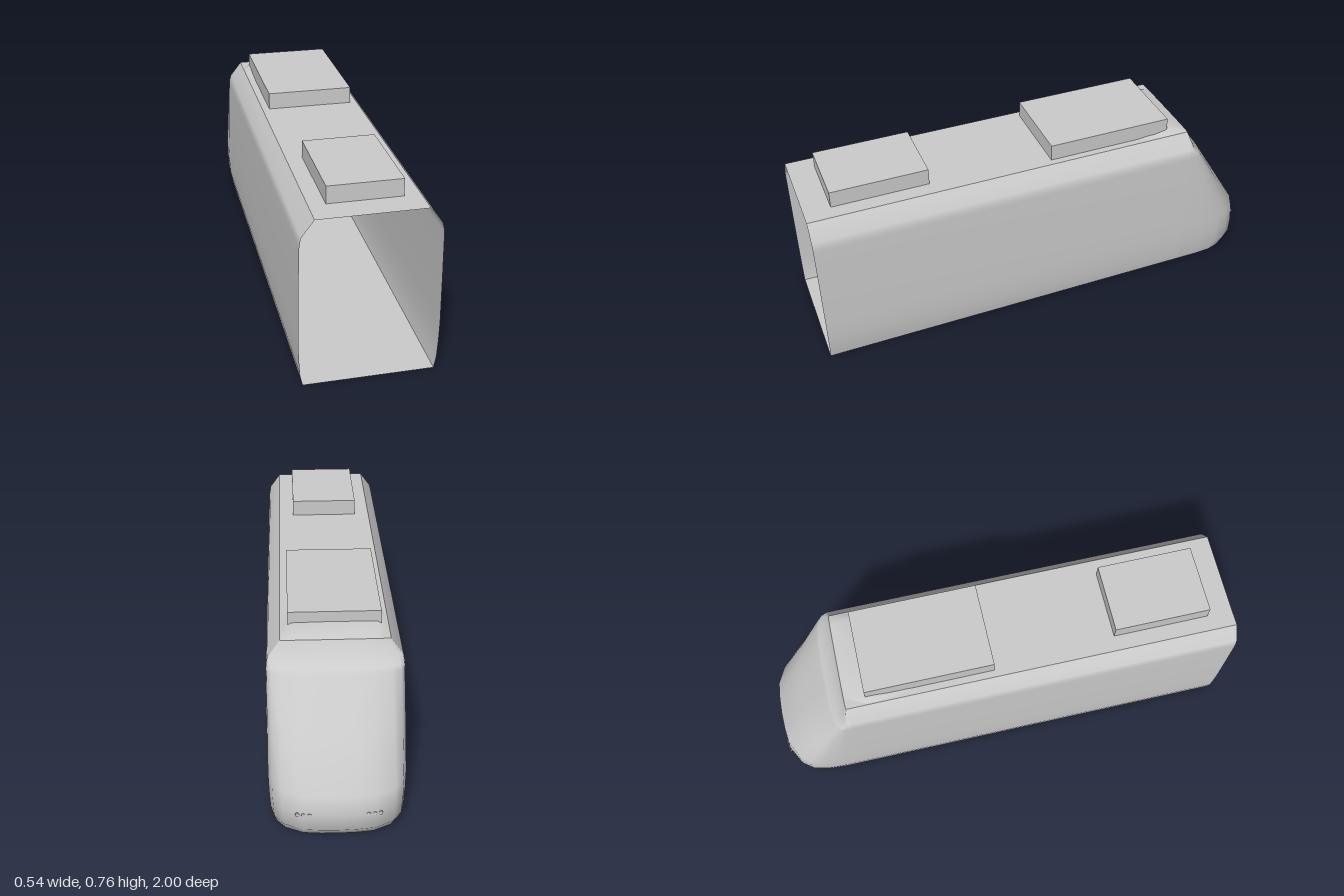
import * as THREE from 'three';

const grey = new THREE.MeshStandardMaterial({ color: 0xcccccc, side: THREE.DoubleSide });
grey.name = 'bodyGrey';

const BACK = 1, SEAM = -0.66, ROOF = 0.69;

// Body levels from floor to roof: height, half width, z of the nose tip
const levels = [
  [0, 0.255, -0.96], [0.05, 0.264, -1], [0.12, 0.268, -1], [0.2, 0.27, -0.99],
  [0.4, 0.268, -0.862], [0.58, 0.265, -0.745], [0.6, 0.263, -0.73],
  [0.625, 0.258, -0.695], [ROOF, 0.21, -0.665],
];

// Half outline of the nose seen from above: share of width, share of depth
const half = [[1, 0], [1, 0.3], [0.985, 0.55], [0.93, 0.72], [0.8, 0.86], [0.53, 0.97], [0.27, 0.993], [0, 1]];
const outline = [...half, ...half.slice(0, -1).reverse().map(([x, t]) => [-x, t])];

// Smooth surface through rows of points
function loft(rows) {
  const n = rows[0].length, index = [];
  for (let i = 0; i < rows.length - 1; i++) {
    for (let j = 0; j < n - 1; j++) {
      const a = i * n + j, c = a + n;
      index.push(a, a + 1, c, a + 1, c + 1, c);
    }
  }
  const geo = new THREE.BufferGeometry();
  geo.setAttribute('position', new THREE.Float32BufferAttribute(rows.flat(2), 3));
  geo.setIndex(index);
  geo.computeVertexNormals();
  return geo;
}

export function createModel() {
  const model = new THREE.Group();
  model.name = 'trainCar';
  const add = (name, geo, x = 0, y = 0, z = 0) => {
    const mesh = new THREE.Mesh(geo, grey);
    mesh.name = name;
    mesh.position.set(x, y, z);
    model.add(mesh);
    return mesh;
  };

  // Side walls with rounded shoulders, open at the end
  add('leftWall', loft(levels.map(([y, w]) => [[w, y, BACK], [w, y, SEAM]])));
  add('rightWall', loft(levels.map(([y, w]) => [[-w, y, SEAM], [-w, y, BACK]])));

  // Flat roof and floor
  add('roof', loft([-0.21, 0.21].map((x) => [[x, ROOF, SEAM], [x, ROOF, BACK]])));
  add('floor', loft([SEAM, BACK].map((z) => [[-0.255, 0, z], [0.255, 0, z]])));

  // Rounded sloping nose
  const noseRow = ([y, w, tip]) => outline.map(([x, t]) => [x * w, y, SEAM + t * (tip - SEAM)]);
  const noseRows = levels.map(noseRow);
  add('nose', loft(noseRows));
  add('noseFloor', loft([noseRows[0].map(([x, y]) => [x, y, SEAM]), noseRows[0]]));
  add('noseTop', loft([noseRows.at(-1), noseRows.at(-1).map(([x, y]) => [x, y, SEAM])]));

  // Low fairing between the nose and the roof unit
  const fairing = [[-0.205, 0], [-0.165, 1], [0, 1.1], [0.165, 1], [0.205, 0]];
  add('roofFairing', loft(fairing.map(([x, k]) => [
    [x, ROOF, SEAM], [x, ROOF + 0.024 * k, -0.575], [x * 0.98, ROOF + 0.009 * k, -0.48], [x * 0.9, ROOF, -0.38],
  ])));

  // Roof units
  add('frontRoofUnit', new THREE.BoxGeometry(0.36, 0.07, 0.54), 0, 0.725, -0.305);
  add('rearRoofUnit', new THREE.BoxGeometry(0.29, 0.07, 0.405), 0, 0.725, 0.6875);

  // Three small lamps on each side of the nose
  for (const side of [1, -1]) {
    for (let i = 0; i < 3; i++) {
      const x = 0.112 + i * 0.023;
      const z = -0.995 + Math.max(0, x - 0.08) * 0.13 - 0.001;
      const lamp = add('noseLamp', new THREE.CylinderGeometry(0.008, 0.008, 0.006, 12), side * x, 0.12, z);
      lamp.rotation.set(Math.PI / 2, 0, -side * 0.12);
    }
  }
  return model;
}
